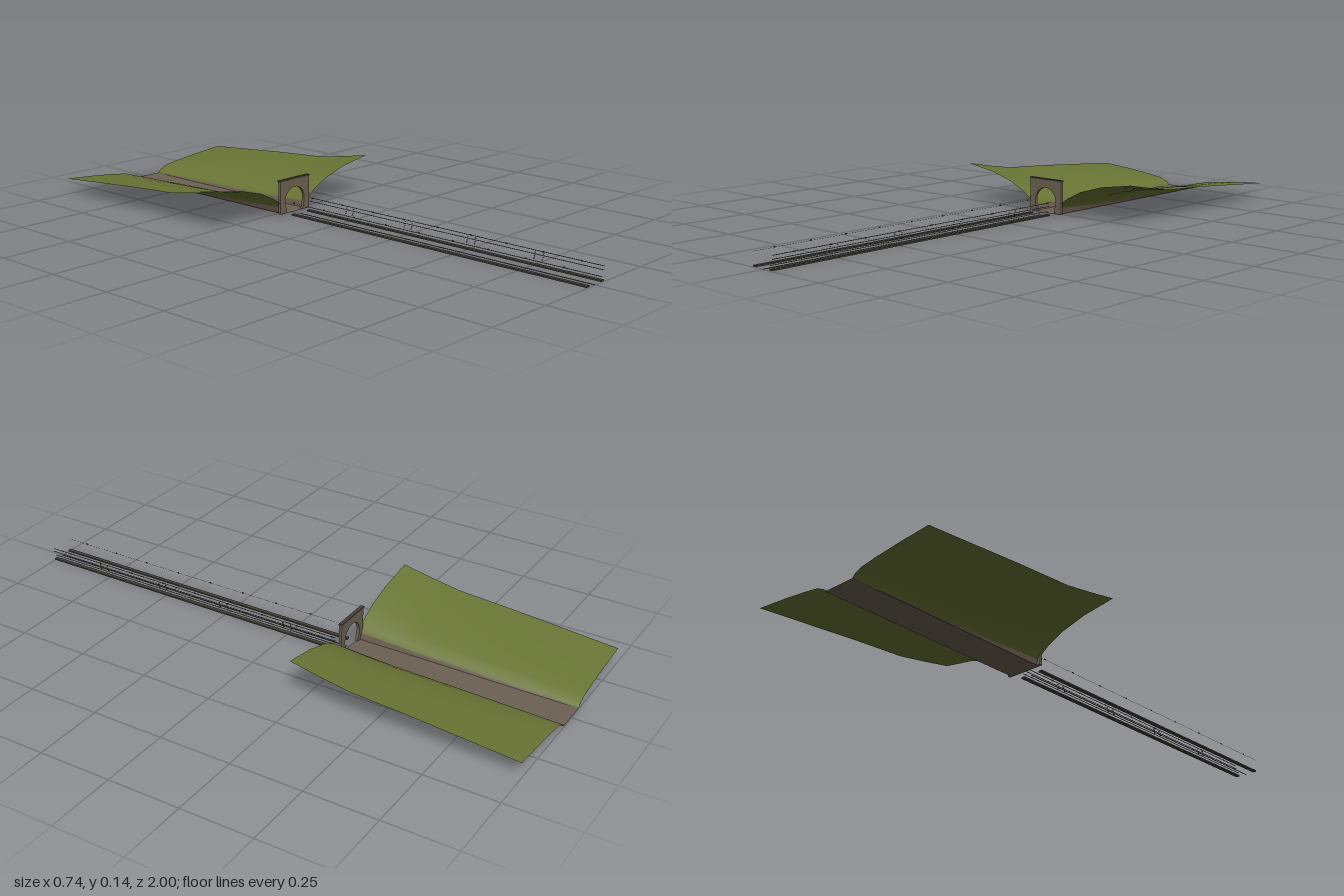
import * as THREE from 'three';

export function createModel() {
  const root = new THREE.Group();
  const mat = (name, color, side = THREE.FrontSide) => {
    const m = new THREE.MeshStandardMaterial({ color, side });
    m.name = name;
    return m;
  };
  const grass = mat('grass', 0x6a7535, THREE.DoubleSide);
  const earth = mat('trackbed', 0x6c6053, THREE.DoubleSide);
  const stone = mat('portal stone', 0x6e6252);
  const dark = mat('dark concrete', 0x45403a);
  const steel = mat('cable grey', 0x55524d);

  const add = (name, geo, material, parent = root) => {
    const m = new THREE.Mesh(geo, material);
    m.name = name;
    parent.add(m);
    return m;
  };
  const box = (name, x0, x1, y0, y1, z0, z1, material, parent) => {
    const m = add(name, new THREE.BoxGeometry(x1 - x0, y1 - y0, z1 - z0), material, parent);
    m.position.set((x0 + x1) / 2, (y0 + y1) / 2, (z0 + z1) / 2);
    return m;
  };

  // Lofted surface from rows of [x, y, z] points
  const loft = (rows, flip) => {
    const n = rows[0].length, index = [];
    for (let i = 0; i < rows.length - 1; i++) {
      for (let j = 0; j < n - 1; j++) {
        const a = i * n + j, b = a + 1, c = a + n, d = c + 1;
        if (flip) index.push(a, c, b, b, c, d);
        else index.push(a, b, c, b, d, c);
      }
    }
    const g = new THREE.BufferGeometry();
    g.setAttribute('position', new THREE.Float32BufferAttribute(rows.flat(2), 3));
    g.setIndex(index);
    g.computeVertexNormals();
    return g;
  };

  // Hillsides: section blends from the high front to the low back
  const xs = [0.06, 0.07, 0.1, 0.16, 0.25, 0.37];
  const front = [0.027, 0.043, 0.065, 0.095, 0.121, 0.14];
  const back = [0.005, 0.016, 0.028, 0.037, 0.047, 0.057];
  const stations = [[-0.218, 1], [-0.32, 0.76], [-0.43, 0.53], [-0.62, 0.38], [-0.8, 0.2], [-1, 0]];
  const height = (j, t) => back[j] + (front[j] - back[j]) * t;
  for (const s of [1, -1]) {
    const side = s > 0 ? 'left' : 'right';
    add(side + 'Hillside', loft(stations.map(([z, t]) =>
      xs.map((x, j) => [s * x, height(j, t), z])), s < 0), grass);
    // Low bank between the trackbed and the hillside
    add(side + 'CuttingWall', loft(stations.map(([z, t]) =>
      [[s * 0.055, 0.004, z], [s * 0.06, height(0, t), z]]), s < 0), earth);
  }
  const bed = add('trackbed', new THREE.PlaneGeometry(0.12, 0.782), earth);
  bed.rotation.x = -Math.PI / 2;
  bed.position.set(0, 0.004, -0.609);

  // Tunnel portal with a horseshoe opening
  const portal = new THREE.Group();
  portal.name = 'portal';
  root.add(portal);
  const shape = new THREE.Shape();
  shape.moveTo(-0.07, 0.005);
  shape.lineTo(-0.038, 0.005);
  shape.absarc(0, 0.045, 0.0465, Math.PI + 0.5, -0.5, true);
  shape.lineTo(0.038, 0.005);
  shape.lineTo(0.07, 0.005);
  shape.lineTo(0.07, 0.119);
  shape.lineTo(-0.07, 0.119);
  shape.closePath();
  const wall = add('portalWall', new THREE.ExtrudeGeometry(shape,
    { depth: 0.01, bevelEnabled: false, curveSegments: 28 }), stone, portal);
  wall.position.z = -0.227;
  box('portalCap', -0.072, 0.072, 0.118, 0.123, -0.229, -0.216, dark, portal);

  // Tunnel fittings run from the portal to the front end
  const z0 = -0.19, z1 = 1;
  for (const s of [1, -1]) {
    const c = s * 0.038;
    box('walkway', c - 0.007, c + 0.007, 0.002, 0.007, z0, z1, dark);
  }
  box('centreDrain', -0.0015, 0.0015, 0, 0.0015, z0, z1, dark);

  // Wall cables following the curve of the bore
  const wallX = y => Math.sqrt(0.0455 ** 2 - (y - 0.045) ** 2);
  for (const y of [0.017, 0.036, 0.048]) {
    const x = wallX(y);
    box('leftCable', x - 0.0008, x + 0.0008, y - 0.0009, y + 0.0009, z0, z1, steel);
  }
  const upper = wallX(0.047);
  box('rightCable', -upper - 0.0003, -upper + 0.0003, 0.0467, 0.0473, z0, z1, steel);

  // Cable clips on both walls
  for (let i = 0; i < 9; i++) {
    const z = 0.92 - i * 0.137;
    for (const s of [1, -1]) {
      box('cableClip', s * upper - 0.001, s * upper + 0.001, 0.046, 0.05, z - 0.003, z + 0.003, dark);
    }
  }
  // Stepped bracket pairs on the left wall
  for (let i = 0; i < 4; i++) {
    for (const dz of [-0.015, 0.015]) {
      const z = 0.77 - i * 0.257 + dz;
      for (const y of [0.024, 0.03, 0.036, 0.042]) {
        const x = wallX(y);
        box('cableBracket', x - 0.003, x + 0.001, y - 0.0008, y + 0.0008, z - 0.002, z + 0.002, dark);
      }
    }
  }
  return root;
}
